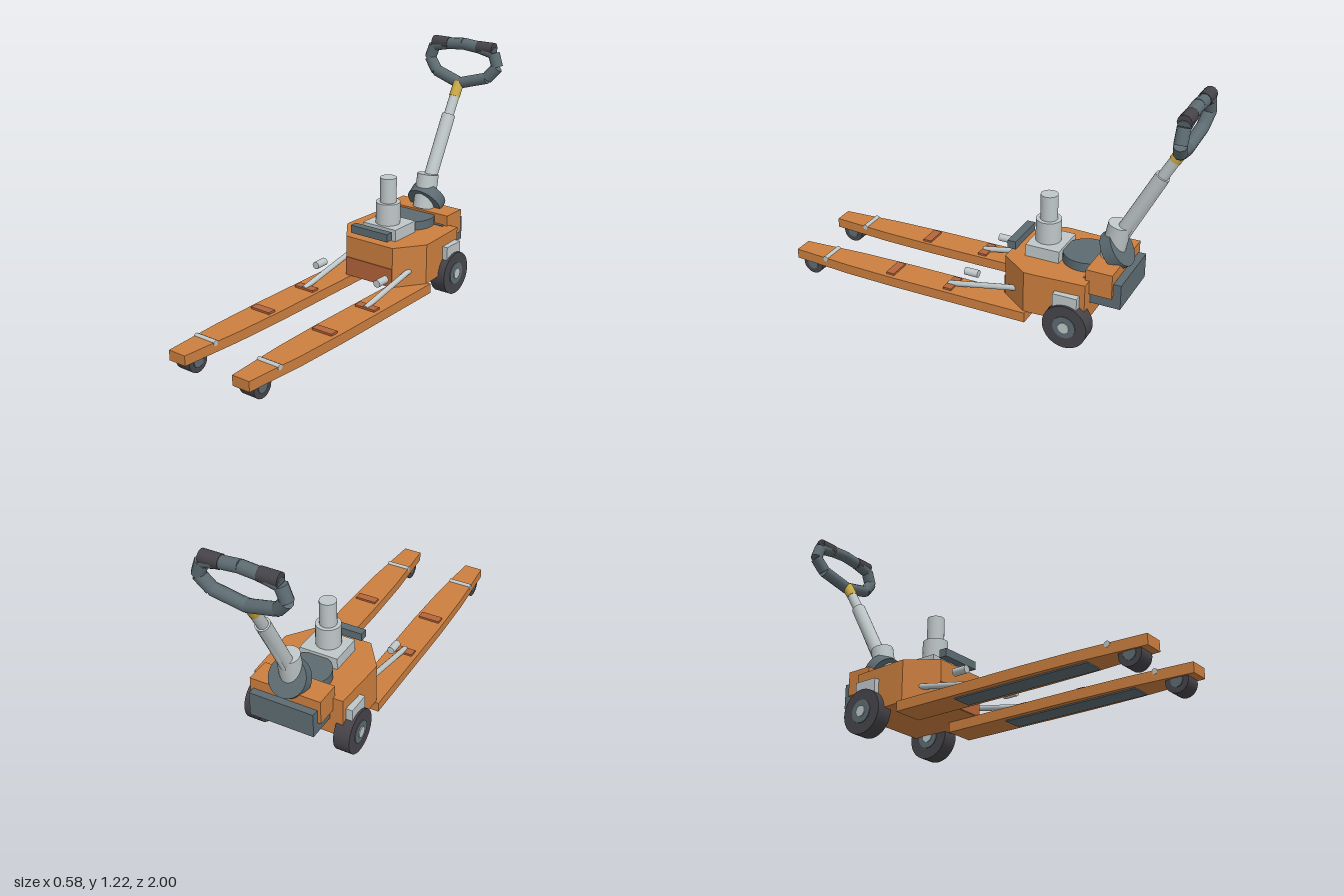
import * as THREE from 'three';

const mat = (name, color) => Object.assign(new THREE.MeshStandardMaterial({ color }), { name });

export function createModel() {
  const orange = mat('orange paint', 0xcc7f3f);
  const rust = mat('rust red', 0xb5653b);
  const steel = mat('light steel', 0xbfc7c8);
  const slate = mat('slate', 0x5d6c72);
  const rubber = mat('rubber', 0x464449);
  const yellow = mat('yellow', 0xcba945);

  const model = new THREE.Group();
  model.name = 'palletTruck';

  const add = (name, geometry, material) => {
    const mesh = new THREE.Mesh(geometry, material);
    mesh.name = name;
    model.add(mesh);
    return mesh;
  };
  // Box given by its limits on each axis
  const box = (name, material, [x0, x1], [y0, y1], [z0, z1]) =>
    add(name, new THREE.BoxGeometry(x1 - x0, y1 - y0, z1 - z0), material)
      .position.set((x0 + x1) / 2, (y0 + y1) / 2, (z0 + z1) / 2);
  // Cylinder between two points
  const bar = (name, material, a, b, r, sides = 24) => {
    const p = new THREE.Vector3(...a), q = new THREE.Vector3(...b);
    const dir = q.clone().sub(p);
    const mesh = add(name, new THREE.CylinderGeometry(r, r, dir.length(), sides), material);
    mesh.position.copy(p).add(q).multiplyScalar(0.5);
    mesh.quaternion.setFromUnitVectors(new THREE.Vector3(0, 1, 0), dir.normalize());
    return mesh;
  };
  // Plan outline of [x, z] points, raised from y0 to y1
  const slab = (name, material, points, y0, y1) => {
    const shape = new THREE.Shape(points.map(([x, z]) => new THREE.Vector2(x, -z)));
    const geometry = new THREE.ExtrudeGeometry(shape, { depth: y1 - y0, bevelEnabled: false });
    add(name, geometry.rotateX(-Math.PI / 2).translate(0, y0, 0), material);
  };
  const span = (s, a, b) => (s > 0 ? [a, b] : [-b, -a]);

  // Chassis
  slab('body', orange, [
    [-0.142, -0.142], [0.142, -0.142], [0.247, -0.285], [0.247, -0.32], [0.233, -0.585],
    [-0.233, -0.585], [-0.247, -0.32], [-0.247, -0.285],
  ], 0.117, 0.325);
  box('frontPanel', rust, [-0.141, 0.141], [0.119, 0.215], [-0.145, -0.137]);
  box('rearBlock', orange, [-0.183, 0.183], [0.257, 0.38], [-0.695, -0.565]);
  box('rearHousing', slate, [-0.166, 0.166], [0.203, 0.328], [-0.733, -0.547]);
  bar('underPivot', slate, [0, 0.16, -0.53], [0, 0.21, -0.53], 0.08);
  bar('turntable', slate, [0, 0.32, -0.505], [0, 0.37, -0.505], 0.121, 32);

  // Hydraulic pump
  box('pumpBase', steel, [-0.1, 0.1], [0.32, 0.385], [-0.397, -0.225]);
  bar('pumpCylinder', steel, [0, 0.38, -0.3], [0, 0.496, -0.3], 0.062);
  bar('pumpPiston', steel, [0, 0.49, -0.3], [0, 0.623, -0.3], 0.042);
  box('frontBar', slate, [-0.111, 0.111], [0.351, 0.391], [-0.18, -0.138]);

  for (const s of [1, -1]) {
    // Forks with their plates, pads and rods
    slab('fork', orange, [
      [0.111, -0.3], [0.265, -0.3], [0.265, 0.4], [0.258, 0.68], [0.236, 1],
      [0.14, 1], [0.118, 0.68], [0.111, 0.4],
    ].map(([x, z]) => [s * x, z]), 0.068, 0.118);
    box('forkUnderPlate', slate, span(s, 0.138, 0.238), [0.062, 0.07], [0.02, 0.715]);
    for (const z of [0.122, 0.442])
      box('forkPad', rust, span(s, 0.13, 0.243), [0.115, 0.128], [z - 0.022, z + 0.022]);
    bar('forkCrossRod', steel, [s * 0.127, 0.113, 0.82], [s * 0.25, 0.113, 0.82], 0.014, 12);
    bar('pushRod', steel, [s * 0.188, 0.194, -0.225], [s * 0.188, 0.123, 0.14], 0.014, 12);
    bar('rodRoller', steel, [s * 0.187, 0.215, -0.022], [s * 0.187, 0.215, 0.048], 0.019, 16);

    // Load wheels
    bar('loadWheel', rubber, [s * 0.148, 0.055, 0.912], [s * 0.23, 0.055, 0.912], 0.055);
    bar('loadWheelHub', slate, [s * 0.144, 0.055, 0.912], [s * 0.234, 0.055, 0.912], 0.029, 16);

    // Rear wheels
    bar('rearWheel', rubber, [s * 0.198, 0.11, -0.507], [s * 0.28, 0.11, -0.507], 0.11, 32);
    bar('rearWheelRim', slate, [s * 0.194, 0.11, -0.507], [s * 0.284, 0.11, -0.507], 0.056);
    bar('rearWheelHub', steel, [s * 0.19, 0.11, -0.507], [s * 0.289, 0.11, -0.507], 0.027, 16);
    box('wheelBracket', steel, span(s, 0.225, 0.268), [0.15, 0.266], [-0.56, -0.44]);
  }

  // Tiller
  bar('tillerPivot', slate, [0, 0.4, -0.622], [0, 0.434, -0.671], 0.095, 28);
  bar('tillerCollar', steel, [0, 0.375, -0.62], [0, 0.55, -0.655], 0.056);
  bar('tillerTube', steel, [0, 0.47, -0.645], [0, 0.83, -0.838], 0.035);
  bar('tillerCable', steel, [0, 0.5, -0.69], [0, 0.81, -0.85], 0.016, 12);
  bar('tillerInnerTube', steel, [0, 0.8, -0.822], [0, 0.93, -0.895], 0.026);
  bar('tillerNeck', yellow, [0, 0.917, -0.887], [0, 0.985, -0.928], 0.028);

  // Handle loop, one half mirrored
  const loop = [
    [0, 0.982, -0.935], [0.155, 1.026, -0.952], [0.207, 1.088, -0.965],
    [0.182, 1.158, -0.967], [0.09, 1.178, -0.967], [0, 1.186, -0.967],
  ];
  for (const s of [1, -1]) {
    const half = loop.map(([x, y, z]) => [s * x, y, z]);
    for (let i = 0; i < half.length - 1; i++)
      bar('handleSegment', slate, half[i], half[i + 1], 0.031, 10);
    bar('handleGrip', rubber, [s * 0.088, 1.179, -0.967], [s * 0.183, 1.179, -0.967], 0.033, 12);
  }
  return model;
}
